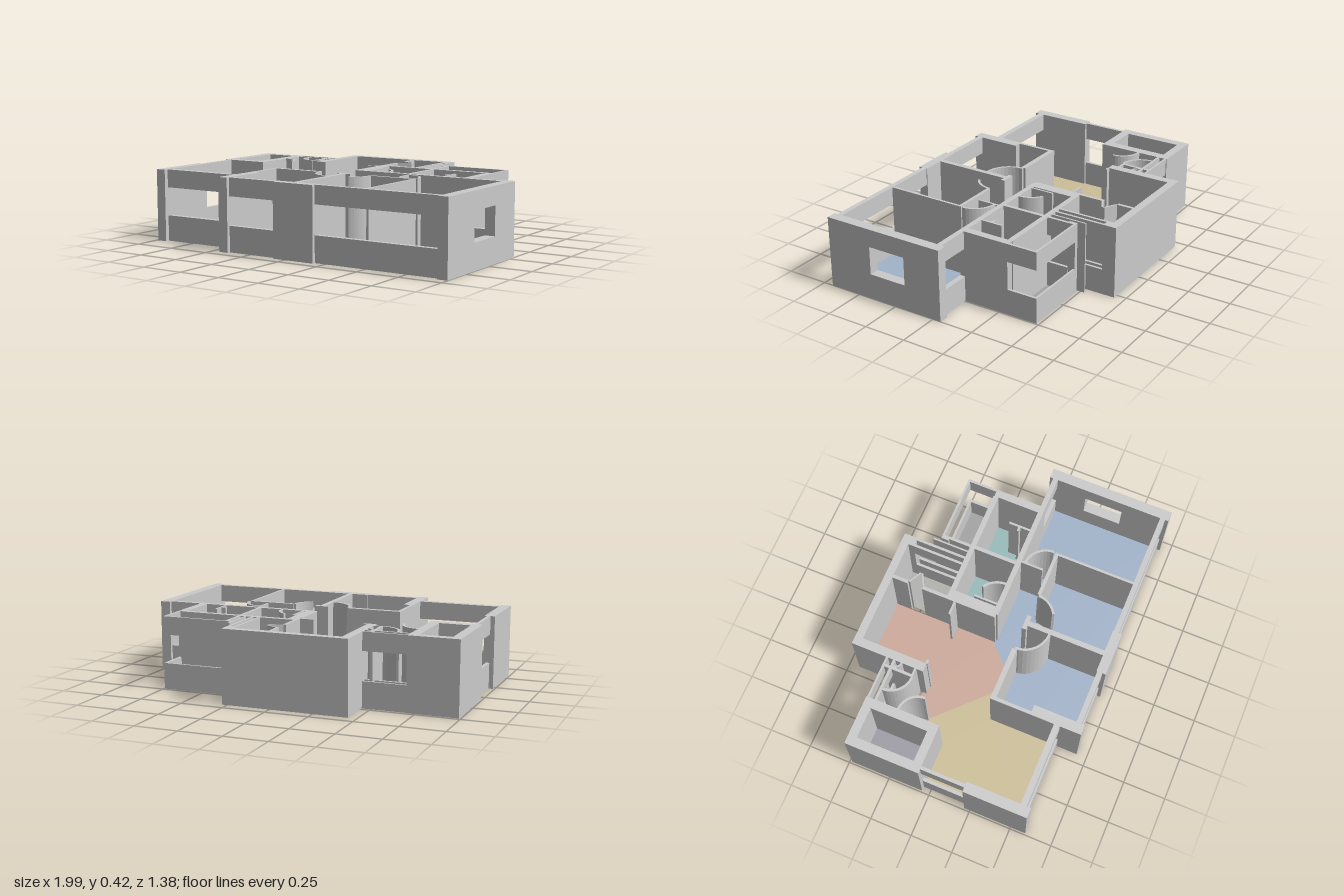
import * as THREE from 'three';

const H = 0.42, SILL = 0.15, HEAD = 0.315, FLOOR = 0.004;

export function createModel() {
  const model = new THREE.Group();
  model.name = 'apartment';
  const grey = new THREE.MeshStandardMaterial({ color: 0xcccccc, flatShading: true });

  const group = (name) => {
    const g = new THREE.Group();
    g.name = name;
    model.add(g);
    return g;
  };
  const outer = group('outerWalls'), inner = group('partitions');
  const windows = group('windowWalls'), doors = group('doors'), floors = group('floors');

  // Upright block between two plan corners
  const block = (parent, name, x0, x1, z0, z1, y0 = 0, y1 = H) => {
    const m = new THREE.Mesh(new THREE.BoxGeometry(x1 - x0, y1 - y0, z1 - z0), grey);
    m.position.set((x0 + x1) / 2, (y0 + y1) / 2, (z0 + z1) / 2);
    m.name = name;
    parent.add(m);
  };
  // Sill below and lintel above an opening
  const opening = (name, x0, x1, z0, z1) => {
    block(windows, name + 'Sill', x0, x1, z0, z1, 0, SILL);
    block(windows, name + 'Lintel', x0, x1, z0, z1, HEAD, H);
  };
  // Plan outline [x, z] raised from y0 to y1
  const slab = (parent, name, pts, y0, y1, material) => {
    const shape = new THREE.Shape(pts.map(([x, z]) => new THREE.Vector2(x, -z)));
    const geo = new THREE.ExtrudeGeometry(shape, { depth: y1 - y0, bevelEnabled: false });
    geo.rotateX(-Math.PI / 2);
    const m = new THREE.Mesh(geo, material);
    m.position.y = y0;
    m.name = name;
    parent.add(m);
  };
  // Curved door sweep, angles in degrees on the plan
  const sweep = (name, cx, cz, r, a0, a1, t = 0.014) => {
    const n = 10, out = [], back = [];
    for (let i = 0; i <= n; i++) {
      const a = THREE.MathUtils.degToRad(a0 + (a1 - a0) * i / n);
      out.push([cx + r * Math.cos(a), cz + r * Math.sin(a)]);
      back.unshift([cx + (r - t) * Math.cos(a), cz + (r - t) * Math.sin(a)]);
    }
    slab(doors, name, [...out, ...back], 0.003, H, grey);
  };

  // Outer walls: x0, x1, z0, z1
  [
    ['livingLeftWall', -0.99, -0.93, 0.215, 0.59],
    ['frontColumn', -0.45, -0.39, 0.39, 0.69],
    ['bedroomLeftWall', -0.45, -0.43, 0.15, 0.39],
    ['frontPier', -0.075, 0.185, 0.635, 0.69],
    ['frontRightCorner', 0.94, 1.0, 0.41, 0.69],
    ['rightWallBack', 0.94, 1.0, -0.05, 0.18],
    ['hallBackWall', -0.45, 0.26, -0.69, -0.645],
    ['hallLeftWall', -0.45, -0.4, -0.645, -0.255],
    ['storeBackWall', -0.99, -0.7, -0.485, -0.435],
    ['storeLeftWall', -0.99, -0.935, -0.435, -0.095],
    ['storeRightWall', -0.755, -0.7, -0.435, -0.095],
    ['storeFrontWall', -0.99, -0.7, -0.095, -0.045],
    ['bathRightWall', 0.7, 0.745, -0.305, 0],
    ['bathBackWall', 0, 0.7, -0.31, -0.28],
    ['backCornerPost', 0.225, 0.28, -0.69, -0.61],
    ['backPost', 0.31, 0.32, -0.525, -0.31],
    ['balconyPost', 0.335, 0.36, -0.485, -0.44],
  ].forEach(([name, ...b]) => block(outer, name, ...b));

  // Walls with a sill and a lintel
  [
    ['livingFront', -0.93, -0.45, 0.53, 0.565],
    ['livingLeft', -0.965, -0.945, -0.045, 0.215],
    ['bedroomFront', -0.39, -0.075, 0.64, 0.67],
    ['masterFront', 0.185, 0.94, 0.64, 0.67],
    ['rightWall', 0.94, 1.0, 0.18, 0.41],
    ['masterBack', 0.745, 0.94, -0.03, 0],
    ['balconyBack', 0.35, 0.745, -0.485, -0.472],
    ['balconyRight', 0.73, 0.745, -0.472, -0.305],
    ['balconyLeft', 0.345, 0.362, -0.44, -0.31],
    ['kitchenRight', 0.225, 0.24, -0.61, -0.31],
    ['kitchenScreen', 0.265, 0.28, -0.61, -0.31],
    ['vestibuleOuter', -0.7, -0.45, -0.48, -0.468],
    ['vestibuleInner', -0.7, -0.45, -0.437, -0.422],
  ].forEach(([name, ...b]) => opening(name, ...b));

  // Inner partitions, standing on the floors
  [
    ['hallPartitionBack', 0, 0.02, -0.645, -0.55],
    ['hallPartitionFront', 0, 0.02, -0.46, -0.31],
    ['bathLeftWall', 0, 0.065, -0.28, -0.01],
    ['bathFrontWall', 0.02, 0.7, -0.03, 0],
    ['bathDivider', 0.345, 0.367, -0.28, -0.03],
    ['bedroomBackWall', -0.43, -0.13, 0.15, 0.18],
    ['corridorStub', 0, 0.085, 0.155, 0.18],
    ['middleBackWall', 0.225, 0.505, 0.16, 0.18],
    ['bedroomDivider', 0.025, 0.055, 0.18, 0.64],
    ['masterDivider', 0.49, 0.505, 0.18, 0.64],
    ['vestibuleDivider', -0.505, -0.488, -0.468, -0.3],
    ['vestibuleFrontWall', -0.505, -0.45, -0.307, -0.295],
    ['hallLeftNib', -0.4, -0.375, -0.262, -0.25],
    ['hallRightNib', -0.08, 0, -0.262, -0.25],
    ['showerScreen', 0.57, 0.583, -0.16, -0.03],
    ['showerNib', 0.545, 0.57, -0.1, -0.087],
  ].forEach(([name, ...b]) => block(inner, name, ...b, 0.003, H));

  // Curved door sweeps and their straight leaves
  sweep('bedroomDoor', 0.025, 0.165, 0.155, 90, 180);
  sweep('middleDoor', 0.085, 0.17, 0.14, 0, 62);
  sweep('masterDoor', 0.375, 0.15, 0.135, -90, 0);
  sweep('bathDoor', 0.08, -0.03, 0.14, -60, 0);
  sweep('storeDoor', -0.7, -0.18, 0.12, -90, 0);
  sweep('vestibuleDoor', -0.505, -0.42, 0.13, 90, 180);
  sweep('cupboardDoor', -0.45, -0.42, 0.04, 90, 180, 0.01);
  block(doors, 'masterDoorLeaf', 0.37, 0.382, 0.0, 0.13, 0.003);
  block(doors, 'bathDoorLeaf', 0.075, 0.087, -0.17, -0.03, 0.003);

  // Folding door: two thin slanted leaves meeting at a point
  [[-0.55, -0.51], [-0.46, -0.5]].forEach(([za, zb]) => {
    slab(doors, 'foldingDoorLeaf',
      [[0.015, za], [0.09, zb], [0.09, zb + 0.01], [0.015, za + 0.01]], 0.003, H, grey);
  });

  // Coloured room floors
  const rect = (x0, x1, z0, z1) => [[x0, z0], [x1, z0], [x1, z1], [x0, z1]];
  [
    ['livingFloor', 0xcdbf98, [[-0.935, -0.045], [-0.7, -0.045], [-0.7, -0.18], [-0.585, -0.18],
      [-0.245, 0.15], [-0.45, 0.15], [-0.45, 0.53], [-0.935, 0.53]]],
    ['hallFloor', 0xcdaa9a, [[-0.4, -0.645], [0, -0.645], [0, -0.02], [-0.17, 0.15], [-0.245, 0.15],
      [-0.585, -0.18], [-0.62, -0.27], [-0.7, -0.31], [-0.7, -0.41], [-0.6, -0.31], [-0.5, -0.295], [-0.4, -0.255]]],
    ['bedroomFloor', 0xa2b3ca, [[0, -0.02], [0.02, 0], [0.94, 0], [0.94, 0.64], [-0.39, 0.64],
      [-0.39, 0.39], [-0.43, 0.39], [-0.43, 0.15], [-0.17, 0.15]]],
    ['bathFloor', 0x98bcbc, rect(0.065, 0.7, -0.28, -0.005)],
    ['kitchenFloor', 0xb1b3ab, rect(0.02, 0.225, -0.645, -0.31)],
    ['balconyFloor', 0xa4a4a4, rect(0.362, 0.73, -0.472, -0.31)],
    ['storeFloor', 0x9e9ca6, rect(-0.935, -0.755, -0.435, -0.095)],
    ['vestibuleFloor', 0xb1b3ab, [[-0.64, -0.422], [-0.505, -0.422], [-0.505, -0.3], [-0.6, -0.33]]],
  ].forEach(([name, color, pts]) =>
    slab(floors, name, pts, 0, FLOOR, new THREE.MeshStandardMaterial({ color })));

  return model;
}
